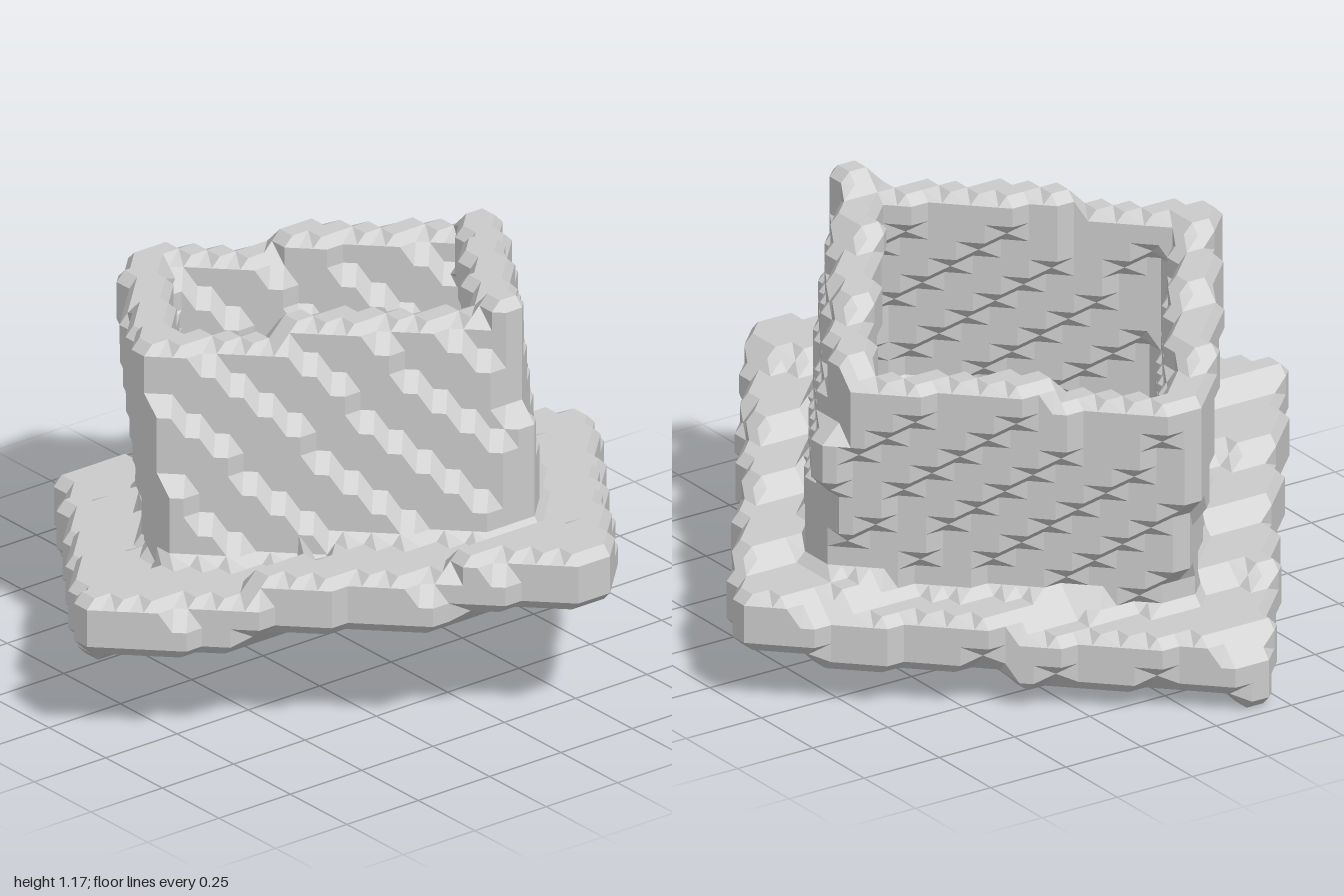
import * as THREE from 'three';

const H = 1 / 18; // voxel size
const N = 20; // voxels to each side of the centre

// Tilted axes: plane of the base and its normal
const normal = new THREE.Vector3(0.023, 1, -0.21).normalize();
const sideU = new THREE.Vector3(0.575, 0, -0.818).projectOnPlane(normal).normalize();
const sideV = new THREE.Vector3().crossVectors(normal, sideU);
const slabOrigin = new THREE.Vector3(0, 0.24, 0.017); // middle of the underside
const wallOrigin = new THREE.Vector3(0.03, 0.24, 0.017);

const samplePoint = (i, j, k) => new THREE.Vector3((i + 0.5) * H, (j + 0.5) * H, k * H);

// Distance from the axis (square metric) and height above the underside
function local(p, origin) {
  const d = p.clone().sub(origin);
  return [Math.max(Math.abs(d.dot(sideU)), Math.abs(d.dot(sideV))), d.dot(normal)];
}

// Square slab with an open square box standing on it
function isSolid(i, j, k) {
  const p = samplePoint(i, j, k);
  if (p.y < 0.05 || Math.abs(p.x) > 0.95 || Math.abs(p.z) > 0.93) return false;
  const [rs, ws] = local(p, slabOrigin);
  const [rw, ww] = local(p, wallOrigin);
  const slab = rs < 0.702 && ws > 0 && ws < 2 * H * normal.y;
  const walls = rw > 0.446 && rw < 0.493 && ww > 0 && ww < 0.756;
  return slab || walls;
}

// Corner c of a cell has offsets (c & 1, c >> 1 & 1, c >> 2 & 1)
const CORNERS = Array.from({ length: 8 }, (_, c) => [c & 1, (c >> 1) & 1, (c >> 2) & 1]);
// Each face lists its corners counter-clockwise seen from outside
const FACES = [
  [0, 2, 3, 1], [4, 5, 7, 6],
  [0, 4, 6, 2], [1, 3, 7, 5],
  [0, 1, 5, 4], [2, 6, 7, 3],
];
const edgeId = (a, b) => Math.min(a, b) * 8 + Math.max(a, b);

// Closed loops of cut edges around the solid corners; diagonal neighbours are joined
function cellLoops(solid) {
  const next = new Map();
  for (const f of FACES) {
    for (let n = 0; n < 4; n++) {
      const a = f[n], b = f[(n + 1) % 4];
      if (solid[a] || !solid[b]) continue;
      let m = n + 4;
      while (!solid[f[(m - 1) % 4]]) m--;
      next.set(edgeId(a, b), edgeId(f[(m - 1) % 4], f[m % 4]));
    }
  }
  const loops = [];
  while (next.size) {
    const loop = [];
    let e = next.keys().next().value;
    while (next.has(e)) {
      loop.push(e);
      const to = next.get(e);
      next.delete(e);
      e = to;
    }
    loops.push(loop);
  }
  return loops;
}

// Bevelled voxel skin through the midpoints of all cut edges
function voxelSkin() {
  const size = 2 * N + 2;
  const grid = new Uint8Array(size ** 3);
  const at = (i, j, k) => ((i + N) * size + j + 1) * size + k + N;
  // Every solid block fills its eight corner points
  for (let i = -N; i < N; i++)
    for (let j = -1; j < 2 * N - 1; j++)
      for (let k = -N; k < N; k++)
        if (isSolid(i + 0.5, j + 0.5, k + 0.5))
          for (const [a, b, c] of CORNERS) grid[at(i + a, j + b, k + c)] = 1;

  const positions = [];
  for (let i = -N; i < N; i++)
    for (let j = -1; j < 2 * N - 1; j++)
      for (let k = -N; k < N; k++) {
        const corners = CORNERS.map(([a, b, c]) => [i + a, j + b, k + c]);
        const solid = corners.map((c) => grid[at(...c)]);
        for (const loop of cellLoops(solid)) {
          const pts = loop.map((e) =>
            samplePoint(...corners[e >> 3]).lerp(samplePoint(...corners[e & 7]), 0.5));
          for (let n = 1; n < pts.length - 1; n++)
            for (const p of [pts[0], pts[n], pts[n + 1]]) positions.push(p.x, p.y, p.z);
        }
      }
  const geometry = new THREE.BufferGeometry();
  geometry.setAttribute('position', new THREE.Float32BufferAttribute(positions, 3));
  geometry.computeVertexNormals();
  return geometry;
}

export function createModel() {
  const group = new THREE.Group();
  group.name = 'tiltedOpenBox';
  const material = new THREE.MeshStandardMaterial({ color: 0xcccccc, flatShading: true });
  const body = new THREE.Mesh(voxelSkin(), material);
  body.name = 'baseAndWalls';
  group.add(body);
  return group;
}
